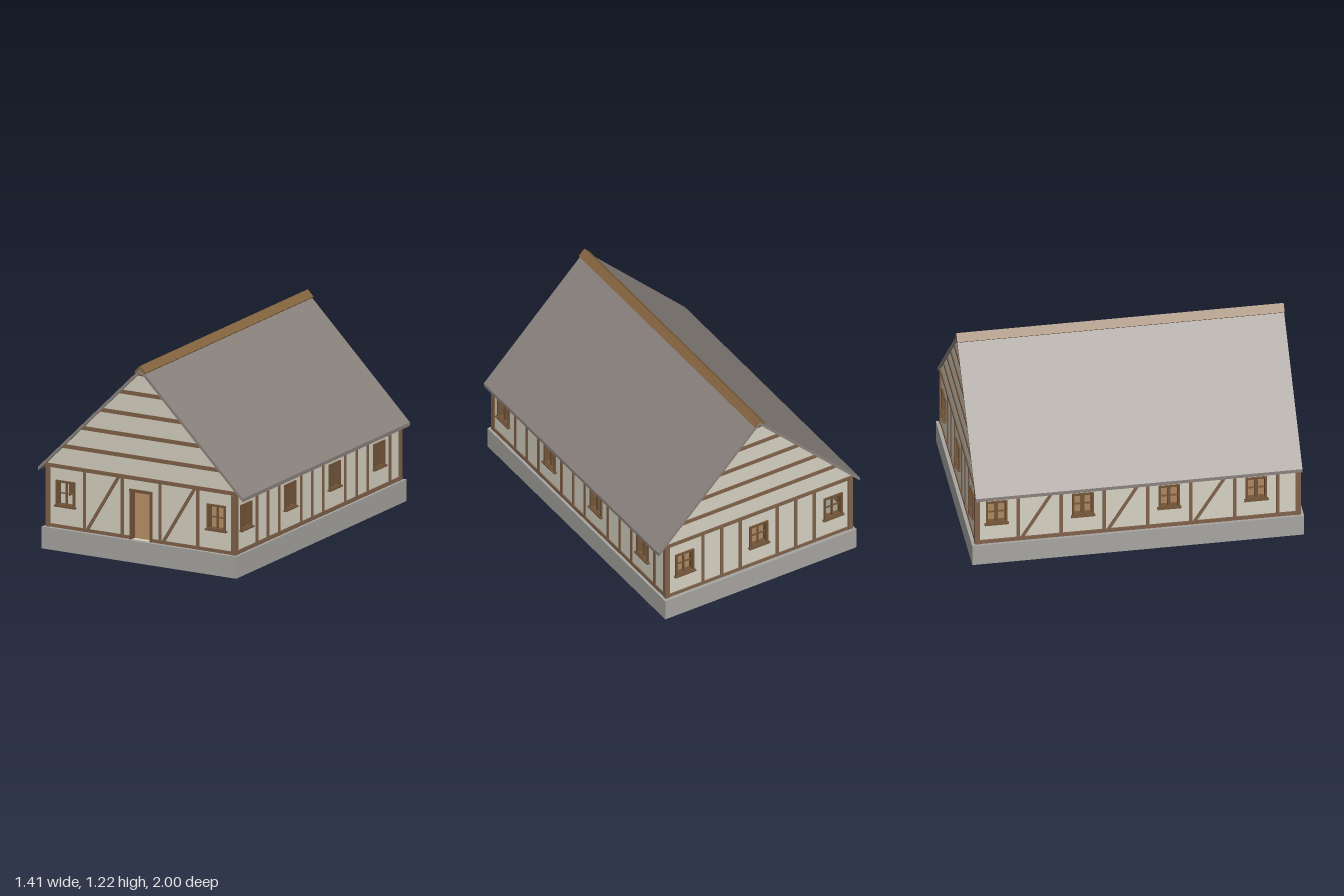
import * as THREE from 'three';

const mat = (name, color) => {
  const m = new THREE.MeshStandardMaterial({ color });
  m.name = name;
  return m;
};

export function createModel() {
  const house = new THREE.Group();
  house.name = 'timberHouse';
  const plaster = mat('plaster', 0xd6d1c1);
  const timber = mat('timber', 0x80624a);
  const joinery = mat('window wood', 0x735539);
  const ridgeWood = mat('ridge wood', 0x84643f);
  const stone = mat('foundation stone', 0xa6a5a1);
  const roofing = mat('roofing', 0x8a827d);
  const flooring = mat('floor boards', 0x9c7a56);

  const add = (parent, name, geo, material, x = 0, y = 0, z = 0) => {
    const m = new THREE.Mesh(geo, material);
    m.name = name;
    m.position.set(x, y, z);
    parent.add(m);
    return m;
  };
  const box = (parent, name, material, w, h, d, x, y, z) =>
    add(parent, name, new THREE.BoxGeometry(w, h, d), material, x, y, z);
  const shapeOf = (pts) => new THREE.Shape(pts.map((p) => new THREE.Vector2(...p)));
  const rect = (x0, y0, x1, y1) => [[x0, y0], [x1, y0], [x1, y1], [x0, y1]];
  const extrude = (shape, depth) =>
    new THREE.ExtrudeGeometry(shape, { depth, bevelEnabled: false });
  const cut = (shape, pts) =>
    shape.holes.push(new THREE.Path(pts.map((p) => new THREE.Vector2(...p)).reverse()));

  // Foundation ring and raised floor
  const ring = shapeOf(rect(-0.67, -1, 0.67, 1));
  cut(ring, rect(-0.61, -0.94, 0.61, 0.94));
  add(house, 'foundation', extrude(ring, 0.135), stone).rotation.x = -Math.PI / 2;
  box(house, 'floor', flooring, 1.224, 0.034, 1.884, 0, 0.117, 0);

  const BASE = 0.135, WIN_Y = 0.35, OUT = 0.006;

  // Each wall is built facing +z in its own frame, then turned into place
  const makeWall = (name, angle, distance, outline, windows, door) => {
    const wall = new THREE.Group();
    wall.name = name;
    wall.rotation.y = angle;
    wall.position.set(Math.sin(angle) * distance, 0, Math.cos(angle) * distance);
    house.add(wall);
    const shape = shapeOf(outline);
    for (const x of windows) cut(shape, rect(x - 0.055, WIN_Y - 0.075, x + 0.055, WIN_Y + 0.075));
    if (door) cut(shape, rect(-0.066, BASE + 0.001, 0.066, 0.436));
    add(wall, name + 'Plaster', extrude(shape, 0.03), plaster, 0, 0, -0.03);
    return wall;
  };

  const makeWindow = (wall, x, bar) => {
    const g = new THREE.Group();
    g.name = 'window';
    g.position.set(x, WIN_Y, 0);
    wall.add(g);
    for (const s of [-1, 1]) {
      box(g, 'windowJamb', joinery, 0.013, 0.16, 0.04, s * 0.058, 0, -0.01);
      box(g, 'windowRail', joinery, 0.128, 0.012, 0.04, 0, s * 0.074, -0.01);
    }
    box(g, 'windowSill', joinery, 0.145, 0.01, 0.022, 0, -0.078, 0.008);
    box(g, 'windowMullion', joinery, bar, 0.15, 0.014, 0, 0, -0.01);
    box(g, 'windowCrossbar', joinery, 0.11, 0.006, 0.01, 0, 0, -0.01);
  };

  const post = (wall, x, w = 0.02) =>
    box(wall, 'post', timber, w, 0.37, 0.012, x, 0.32, 0);
  const beam = (wall, name, x0, x1, y, h = 0.02) =>
    box(wall, name, timber, x1 - x0, h, 0.014, (x0 + x1) / 2, y, 0);
  const brace = (wall, x0, x1, w = 0.022) =>
    add(wall, 'brace', extrude(shapeOf([
      [x0, 0.15], [x0 + w, 0.15], [x1, 0.51], [x1 - w, 0.51],
    ]), OUT), timber, 0, 0, 0);

  // Gable ends
  const gable = [[-0.645, BASE], [0.645, BASE], [0.645, 0.53], [0, 1.177], [-0.645, 0.53]];
  const front = makeWall('frontWall', 0, 0.972, gable, [-0.52, 0.52], true);
  const back = makeWall('backWall', Math.PI, 0.972, gable, [-0.52, 0, 0.52], false);
  for (const wall of [front, back]) {
    beam(wall, 'topPlate', -0.65, 0.65, 0.515, 0.023);
    for (const x of [-0.39, -0.13, 0.13, 0.39]) post(wall, x);
    for (const x of [-0.52, 0.52]) makeWindow(wall, x, 0.007);
    for (const y of [0.645, 0.775, 0.905, 1.037]) {
      const a = 1.176 - y + 0.012, b = 1.176 - y - 0.012;
      add(wall, 'gableBeam', extrude(shapeOf([
        [-a, y - 0.012], [a, y - 0.012], [b, y + 0.012], [-b, y + 0.012],
      ]), OUT), timber);
    }
  }
  beam(front, 'sillBeam', -0.65, -0.066, 0.146);
  beam(front, 'sillBeam', 0.066, 0.65, 0.146);
  brace(front, -0.382, -0.143);
  brace(front, 0.142, 0.381);
  beam(back, 'sillBeam', -0.65, 0.65, 0.146);
  makeWindow(back, 0, 0.007);
  for (const x of [-0.26, 0.26]) post(back, x);

  // Door frame
  for (const s of [-1, 1]) box(front, 'doorJamb', joinery, 0.012, 0.3, 0.045, s * 0.07, 0.286, -0.01);
  box(front, 'doorLintel', joinery, 0.155, 0.016, 0.048, 0, 0.438, -0.01);

  // Long walls: four windows each, posts between
  const sideWindows = [-0.85, -0.33, 0.19, 0.715];
  const bays = [[-0.72, -0.46], [-0.2, 0.06], [0.32, 0.585]];
  const lastPost = 0.845;
  const sideOutline = rect(-0.965, BASE, 0.965, 0.525);
  for (const [name, angle, braced] of [['rightWall', Math.PI / 2, false], ['leftWall', -Math.PI / 2, true]]) {
    const wall = makeWall(name, angle, 0.646, sideOutline, sideWindows, false);
    for (const x of sideWindows) makeWindow(wall, x, 0.02);
    for (const [a, b] of bays) {
      post(wall, a);
      post(wall, b);
      if (braced) brace(wall, a + 0.01, b - 0.01);
      else post(wall, (a + b) / 2);
    }
    post(wall, lastPost);
    beam(wall, 'sillBeam', -0.97, 0.97, 0.147, 0.024);
    beam(wall, 'topPlate', -0.97, 0.97, 0.513);
  }

  // Corner posts
  for (const sx of [-1, 1]) for (const sz of [-1, 1])
    box(house, 'cornerPost', timber, 0.031, 0.39, 0.031, sx * 0.64, 0.33, sz * 0.966);

  // Roof slopes
  const roof = shapeOf([
    [0, 1.2], [-0.705, 0.495], [-0.705, 0.473], [0, 1.175], [0.705, 0.473], [0.705, 0.495],
  ]);
  add(house, 'roof', extrude(roof, 1.968), roofing, 0, 0, -0.984);

  // Ridge cap
  const cap = shapeOf([
    [0, 1.217], [-0.04, 1.177], [-0.03, 1.167], [0, 1.197], [0.03, 1.167], [0.04, 1.177],
  ]);
  add(house, 'ridgeCap', extrude(cap, 1.972), ridgeWood, 0, 0, -0.986);
  // Ridge beam ends under the peak
  for (const s of [-1, 1]) box(house, 'ridgeBeamEnd', timber, 0.03, 0.012, 0.01, 0, 1.158, s * 0.975);

  return house;
}
